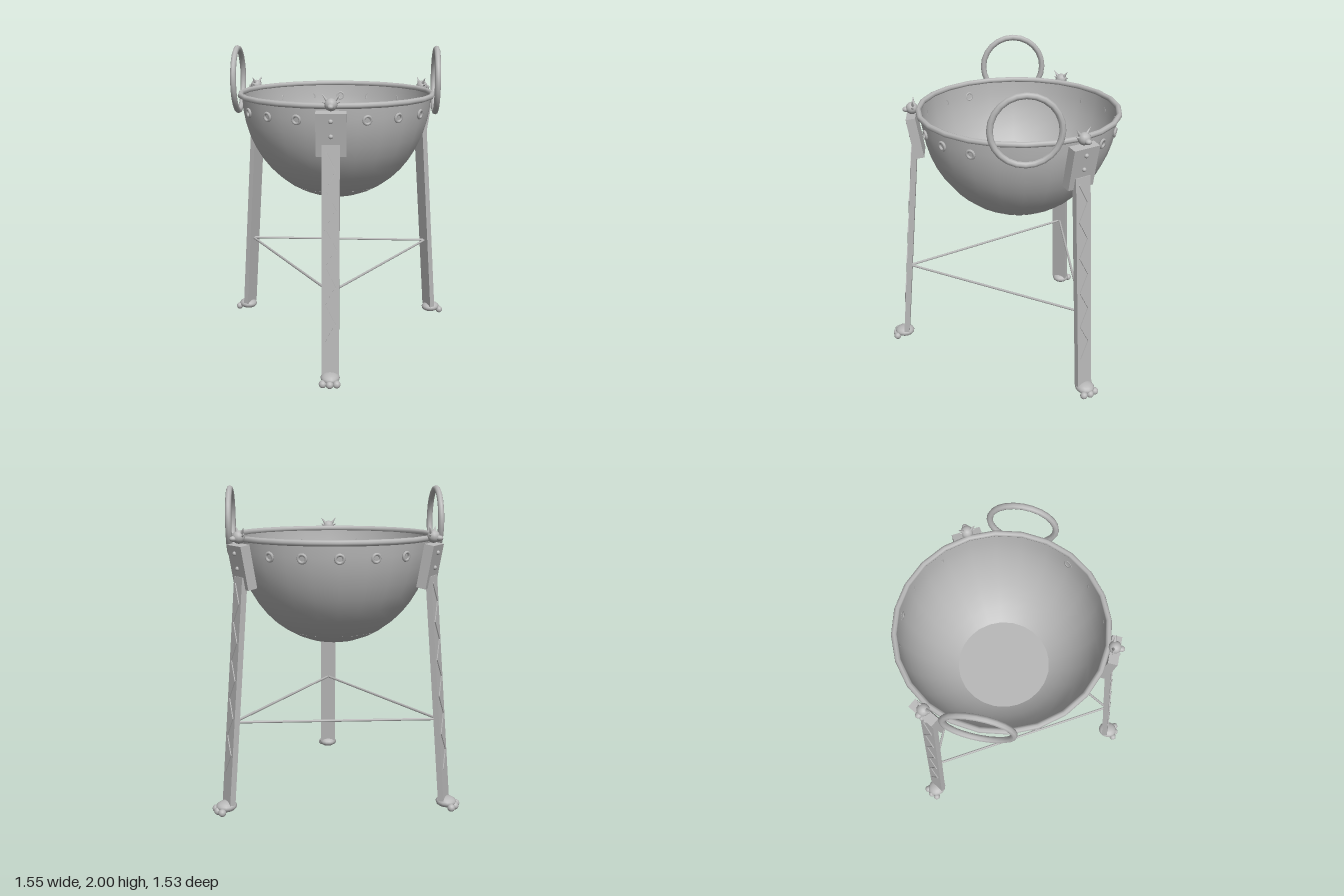
import * as THREE from 'three';

const iron = new THREE.MeshStandardMaterial({ color: 0xb8b8b8, side: THREE.DoubleSide });
iron.name = 'grey iron';

function add(parent, name, geometry, x = 0, y = 0, z = 0) {
  const mesh = new THREE.Mesh(geometry, iron);
  mesh.name = name;
  mesh.position.set(x, y, z);
  parent.add(mesh);
  return mesh;
}

// Group at the middle of a-b, with its local y running from a to b
function span(parent, name, a, b) {
  const group = new THREE.Group();
  group.name = name;
  group.position.copy(a).add(b).multiplyScalar(0.5);
  group.quaternion.setFromUnitVectors(new THREE.Vector3(0, 1, 0), b.clone().sub(a).normalize());
  group.userData.length = a.distanceTo(b);
  parent.add(group);
  return group;
}

const v = (x, y, z) => new THREE.Vector3(x, y, z);
const ball = (r) => new THREE.SphereGeometry(r, 14, 10);

// Half bowl with rolled rim and a flat floor inside
function makeBowl(parent) {
  const profile = [];
  for (let i = 0; i <= 12; i++) {
    const a = (i / 12) * Math.PI / 2;
    profile.push(new THREE.Vector2(0.62 * Math.sin(a), 1.695 - 0.69 * Math.cos(a)));
  }
  add(parent, 'bowl', new THREE.LatheGeometry(profile, 24));
  add(parent, 'rim', new THREE.TorusGeometry(0.63, 0.018, 8, 24), 0, 1.69).rotation.x = Math.PI / 2;
  add(parent, 'bowlFloor', new THREE.CircleGeometry(0.3, 16), 0, 1.09).rotation.x = -Math.PI / 2;

  // Ring studs between the legs and handles
  for (const deg of [20, 40, 60, 140, 160, 180, 200, 220, 300, 320, 340]) {
    const a = deg * Math.PI / 180;
    const stud = add(parent, 'ringStud', new THREE.TorusGeometry(0.024, 0.009, 6, 14),
      0.617 * Math.sin(a), 1.6, 0.617 * Math.cos(a));
    stud.rotation.set(0.12, a, 0, 'YXZ');
  }

  // Standing ring handles
  for (const side of [-1, 1]) {
    add(parent, 'ringHandle', new THREE.TorusGeometry(0.203, 0.019, 8, 24), side * 0.647, 1.778).rotation.y = Math.PI / 2;
  }
}

// Leg pointing along +z, with plate, zigzag ridge, paw and horned head
function makeLeg() {
  const leg = new THREE.Group();
  leg.name = 'leg';

  const shaft = span(leg, 'legShaft', v(0, 0.06, 0.778), v(0, 1.468, 0.66));
  const length = shaft.userData.length;
  add(shaft, 'legBar', new THREE.BoxGeometry(0.106, length, 0.036));
  for (let i = 0; i < 10; i++) {
    const y0 = 1.43 - i * 0.117, dir = i % 2 ? -1 : 1;
    const ridge = add(shaft, 'zigzagRidge', new THREE.BoxGeometry(0.01, 0.133, 0.008),
      0, y0 - 0.0585 - 0.765, 0.02);
    ridge.rotation.z = dir * Math.atan2(0.06, 0.117);
  }

  const mount = span(leg, 'mount', v(0, 1.4, 0.628), v(0, 1.66, 0.674));
  add(mount, 'mountPlate', new THREE.BoxGeometry(0.18, mount.userData.length, 0.06));
  for (const y of [0.085, -0.007, -0.09]) add(mount, 'rivet', ball(0.014), 0, y, 0.031);

  // Paw with three toes
  add(leg, 'paw', ball(1), 0, 0.046, 0.795).scale.set(0.06, 0.035, 0.066);
  for (const x of [-0.043, 0, 0.043]) add(leg, 'toe', ball(0.024), x, 0.026, x ? 0.845 : 0.854);

  // Small head with snout and horns
  add(leg, 'head', ball(0.038), 0, 1.703, 0.668);
  add(leg, 'snout', ball(1), 0, 1.695, 0.703).scale.set(0.02, 0.017, 0.025);
  for (const side of [-1, 1]) {
    add(leg, 'horn', new THREE.ConeGeometry(0.012, 0.055, 8), side * 0.036, 1.743, 0.66).rotation.z = -side * 0.65;
    add(leg, 'ear', new THREE.ConeGeometry(0.01, 0.03, 8), side * 0.042, 1.715, 0.662).rotation.z = -side * 1.25;
  }
  return leg;
}

export function createModel() {
  const model = new THREE.Group();
  model.name = 'cauldron';
  const body = new THREE.Group();
  body.name = 'cauldronOnTripod';
  body.position.z = -0.118;
  model.add(body);

  makeBowl(body);
  const joints = [];
  for (let i = 0; i < 3; i++) {
    const a = i * Math.PI * 2 / 3;
    const leg = makeLeg();
    leg.rotation.y = a;
    body.add(leg);
    joints.push(v(0.73 * Math.sin(a), 0.577, 0.73 * Math.cos(a)));
  }

  // Triangle of thin rods tying the legs together
  joints.forEach((p, i) => {
    const rod = span(body, 'brace', p, joints[(i + 1) % 3]);
    add(rod, 'braceRod', new THREE.CylinderGeometry(0.008, 0.008, rod.userData.length, 8));
  });
  return model;
}
